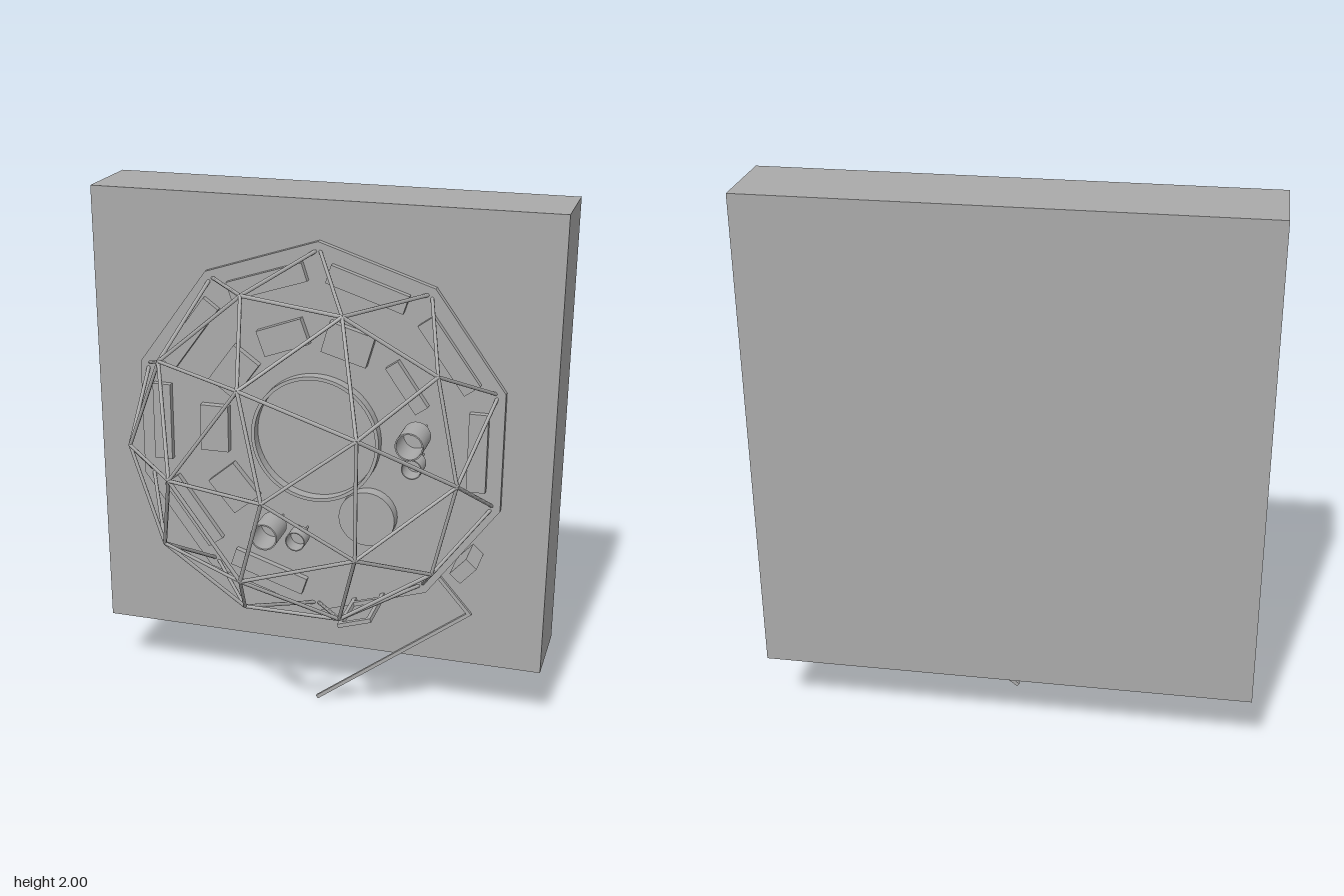
import * as THREE from 'three';

export function createModel() {
  const model = new THREE.Group();
  const grey = new THREE.MeshStandardMaterial({ color: 0xaaaaaa });
  grey.name = 'grey';
  const greyOpen = new THREE.MeshStandardMaterial({ color: 0xaaaaaa, side: THREE.DoubleSide });
  greyOpen.name = 'grey open surface';
  const CY = 1.125, WALL = -0.205, PLATE = -0.18;
  const rad = THREE.MathUtils.degToRad;

  function add(name, geometry, material = grey) {
    const mesh = new THREE.Mesh(geometry, material);
    mesh.name = name;
    model.add(mesh);
    return mesh;
  }
  // box standing off the wall between two depths, turned in the wall plane
  function block(name, x, y, w, h, z0, z1, deg = 0) {
    const mesh = add(name, new THREE.BoxGeometry(w, h, z1 - z0));
    mesh.position.set(x, y, (z0 + z1) / 2);
    mesh.rotation.z = rad(deg);
  }
  // cylinder whose axis points out of the wall
  function drum(name, x, y, r, z0, z1, sides = 32) {
    const geo = new THREE.CylinderGeometry(r, r, z1 - z0, sides).rotateX(Math.PI / 2);
    add(name, geo).position.set(x, y, (z0 + z1) / 2);
  }
  // round tube with a wall, extruded out of the wall
  function tube(name, x, y, r, inner, z0, z1) {
    const shape = new THREE.Shape().absarc(0, 0, r, 0, Math.PI * 2);
    shape.holes.push(new THREE.Path().absarc(0, 0, inner, 0, Math.PI * 2, true));
    const geo = new THREE.ExtrudeGeometry(shape, { depth: z1 - z0, bevelEnabled: false, curveSegments: 32 });
    add(name, geo, greyOpen).position.set(x, y, z0);
  }
  function strut(name, a, b, r) {
    const dir = b.clone().sub(a);
    const mesh = add(name, new THREE.CylinderGeometry(r, r, dir.length(), 6));
    mesh.position.copy(a).add(b).multiplyScalar(0.5);
    mesh.quaternion.setFromUnitVectors(new THREE.Vector3(0, 1, 0), dir.normalize());
  }

  // wall slab and ten-sided base plate
  block('wallSlab', 0, 1.1225, 1.75, 1.755, -0.51, WALL);
  const decagon = new THREE.Shape();
  for (let i = 0; i < 10; i++) {
    const a = rad(18 + 36 * i), p = [0.73 * Math.cos(a), 0.73 * Math.sin(a)];
    if (i) decagon.lineTo(...p); else decagon.moveTo(...p);
  }
  add('basePlate', new THREE.ExtrudeGeometry(decagon, { depth: PLATE - WALL, bevelEnabled: false }))
    .position.set(0, CY, WALL);

  // geodesic half dome: points on a sphere by tilt from the apex and turn
  const domePoint = (tilt, turn) => new THREE.Vector3(
    0.7 * Math.sin(rad(tilt)) * Math.cos(rad(turn)),
    CY + 0.7 * Math.sin(rad(tilt)) * Math.sin(rad(turn)),
    -0.2 + 0.7 * Math.cos(rad(tilt)));
  for (let k = 0; k < 5; k++) {
    const t = 36 + 72 * k;
    const apex = domePoint(0, 0), upper = domePoint(31.72, t), corner = domePoint(63.43, t);
    const mid = domePoint(58.28, t + 36), midBack = domePoint(58.28, t - 36);
    const rimA = domePoint(90, t - 18), rimB = domePoint(90, t + 18), rimC = domePoint(90, t + 54);
    [[apex, upper], [upper, domePoint(31.72, t + 72)], [upper, corner], [upper, mid], [upper, midBack],
      [corner, mid], [corner, midBack], [corner, rimA], [corner, rimB], [mid, rimB], [mid, rimC],
      [rimA, rimB], [rimB, rimC]].forEach(([a, b]) => strut('domeStrut', a, b, 0.007));
  }

  // long panels inside the rim, leaving the two lower right sides free
  for (let i = 0; i < 8; i++) {
    const a = rad(36 * i);
    block('rimPanel', 0.605 * Math.cos(a), CY + 0.605 * Math.sin(a), 0.07, 0.3, PLATE, -0.155, 36 * i);
  }
  // inner ring of equipment blocks
  [[0.12, 1.493, 0.175, 0.12, -16], [-0.125, 1.498, 0.18, 0.1, 20], [-0.315, 1.35, 0.17, 0.12, 54],
    [-0.395, 1.12, 0.11, 0.18, 0], [-0.322, 0.885, 0.16, 0.13, -50], [0.34, 1.35, 0.2, 0.055, -55]]
    .forEach(([x, y, w, h, deg]) => block('equipmentBlock', x, y, w, h, PLATE, -0.15, deg));

  // central ring and round pedestal
  tube('centralRing', 0, 1.12, 0.245, 0.232, PLATE, -0.137);
  drum('roundPedestal', 0.205, 0.83, 0.107, PLATE, -0.13);

  // open cups on pins
  [[0.385, 1.18, 0.052, -0.012], [0.385, 1.075, 0.038, -0.062],
    [-0.16, 0.76, 0.052, -0.012], [-0.055, 0.73, 0.038, -0.07]].forEach(([x, y, r, top]) => {
    tube('cup', x, y, r, r * 0.9, -0.14, top);
    drum('cupFloor', x, y, r * 0.92, -0.14, -0.132);
    for (let i = 0; i < 4; i++) {
      const a = rad(45 + 90 * i);
      drum('cupPin', x + 0.7 * r * Math.cos(a), y + 0.7 * r * Math.sin(a), 0.004, PLATE, -0.138, 6);
    }
  });

  // projecting frame on the lower edge
  const c = Math.cos(rad(18)), s = Math.sin(rad(18));
  [-1, 1].forEach(side => block('frameLeg', 0.208 + side * 0.058 * c, 0.483 + side * 0.058 * s,
    0.016, 0.016, WALL, 0.045, 18));
  [[0.029, 0.045], [-0.15, -0.134]].forEach(([z0, z1]) =>
    block('frameBar', 0.208, 0.483, 0.132, 0.016, z0, z1, 18));

  // box outside the rim and the bent arm
  block('outerBox', 0.588, 0.697, 0.088, 0.054, WALL, -0.065, 48);
  const arm = [[0.48, 0.592], [0.595, 0.46], [0.004, 0.008]];
  for (let i = 0; i < 2; i++) {
    const [[x0, y0], [x1, y1]] = [arm[i], arm[i + 1]];
    block('armSegment', (x0 + x1) / 2, (y0 + y1) / 2, Math.hypot(x1 - x0, y1 - y0) + 0.012, 0.014,
      -0.203, -0.19, THREE.MathUtils.radToDeg(Math.atan2(y1 - y0, x1 - x0)));
  }
  return model;
}
